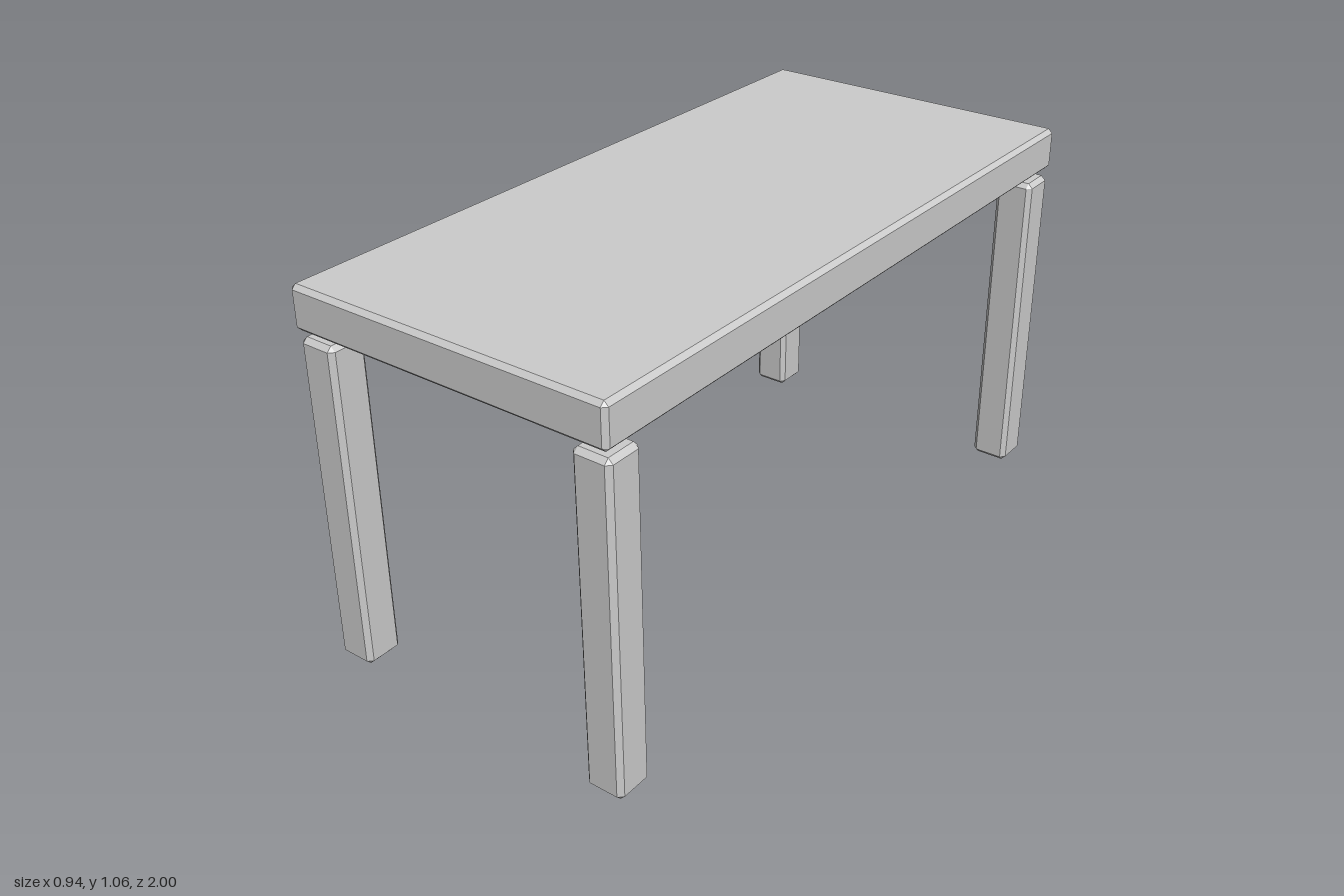
import * as THREE from 'three';
import { ConvexGeometry } from 'three/addons/geometries/ConvexGeometry.js';

const material = new THREE.MeshStandardMaterial({ color: 0xcccccc, flatShading: true });

// Box with flat chamfers on every edge and corner
function chamferedBox(name, width, height, depth, chamfer) {
  const half = [width / 2, height / 2, depth / 2];
  const points = [];
  for (const sx of [-1, 1]) for (const sy of [-1, 1]) for (const sz of [-1, 1]) {
    // each corner becomes three points, one on each adjoining face
    for (let face = 0; face < 3; face++) {
      const [x, y, z] = half.map((h, axis) => (axis === face ? h : h - chamfer));
      points.push(new THREE.Vector3(sx * x, sy * y, sz * z));
    }
  }
  const mesh = new THREE.Mesh(new ConvexGeometry(points), material);
  mesh.name = name;
  return mesh;
}

export function createModel() {
  const table = new THREE.Group();
  table.name = 'table';

  // Thick rectangular slab
  const top = chamferedBox('tableTop', 0.944, 0.12, 2, 0.012);
  top.position.y = 1;
  table.add(top);

  // Four square legs, stopping just short of the slab
  for (const [sideName, sx] of [['Left', 1], ['Right', -1]]) {
    for (const [endName, sz] of [['front', 1], ['back', -1]]) {
      const leg = chamferedBox(`${endName}${sideName}Leg`, 0.108, 0.92, 0.108, 0.013);
      leg.position.set(sx * 0.416, 0.46, sz * 0.937);
      table.add(leg);
    }
  }
  return table;
}
